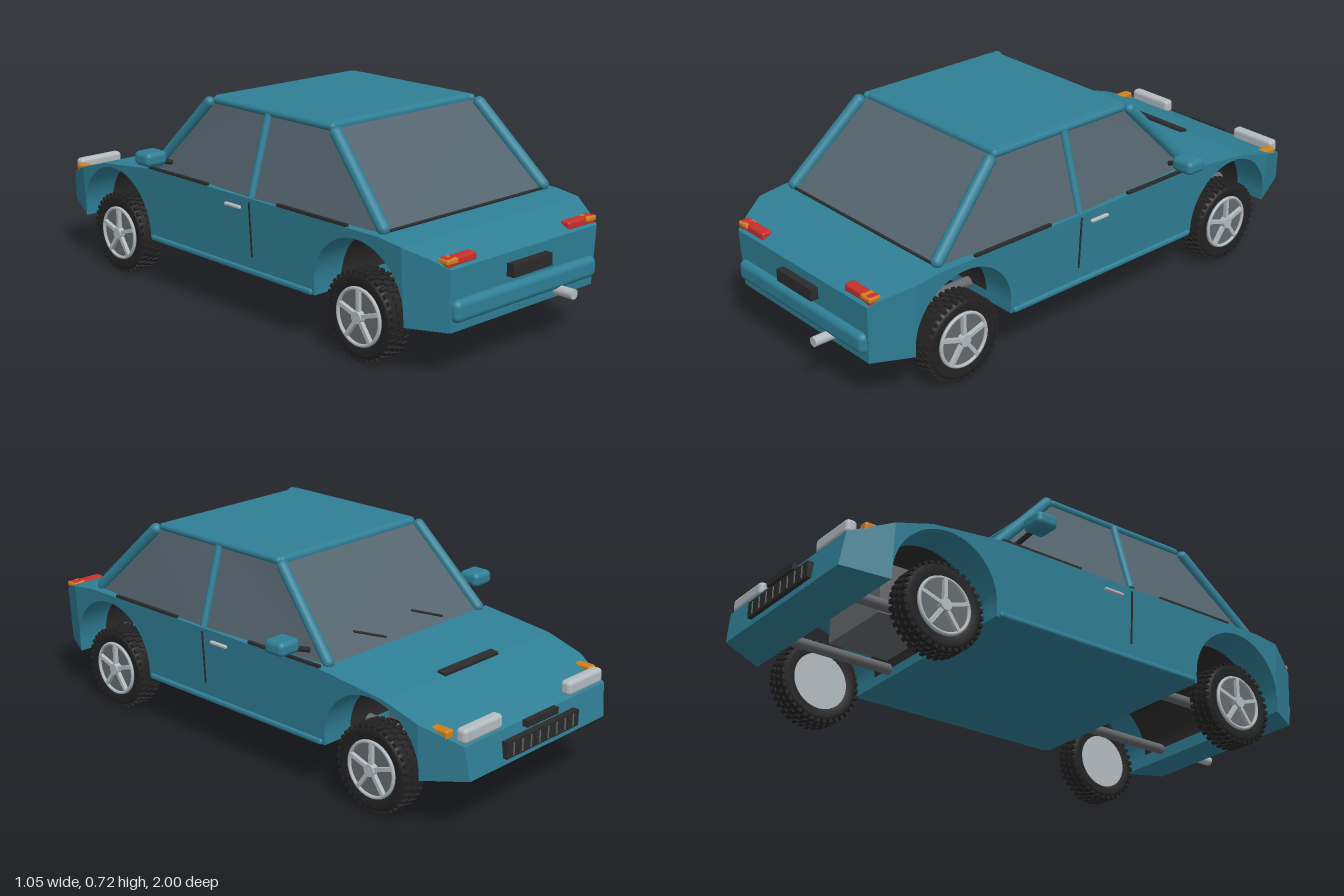
import * as THREE from 'three';
import { RoundedBoxGeometry } from 'three/addons/geometries/RoundedBoxGeometry.js';

const mat = (name, color, extra = {}) => {
  const m = new THREE.MeshStandardMaterial({ color, ...extra });
  m.name = name;
  return m;
};

export function createModel() {
  const paint = mat('teal paint', 0x2f7f96, { flatShading: true });
  const paintSmooth = mat('teal trim', 0x2f7f96);
  const glass = mat('window glass', 0x55656f, { side: THREE.DoubleSide });
  const dark = mat('dark plastic', 0x2b2b2b, { side: THREE.DoubleSide });
  const rubber = mat('tyre rubber', 0x222222);
  const silver = mat('silver', 0xb4bcc0);
  const steel = mat('grey metal', 0x66696c);
  const red = mat('red lamp', 0xc8302a);
  const amber = mat('amber lamp', 0xcf7f1e);

  const car = new THREE.Group();
  car.name = 'car';
  const V = (x, y, z) => new THREE.Vector3(x, y, z);
  const add = (name, geo, m, p = [0, 0, 0], parent = car) => {
    const mesh = new THREE.Mesh(geo, m);
    mesh.name = name;
    mesh.position.set(...p);
    parent.add(mesh);
    return mesh;
  };
  const box = (name, m, size, p, parent) => add(name, new THREE.BoxGeometry(...size), m, p, parent);
  const rbox = (name, m, size, p, r, parent) => add(name, new RoundedBoxGeometry(...size, 3, r), m, p, parent);
  // Round rod between two points, with rounded ends if wanted
  const rod = (name, m, a, b, r, capped = false) => {
    const d = V(...b).sub(V(...a)), len = d.length();
    const geo = capped ? new THREE.CapsuleGeometry(r, len, 6, 14) : new THREE.CylinderGeometry(r, r, len, 14);
    const mesh = add(name, geo, m, V(...a).addScaledVector(d, 0.5).toArray());
    mesh.quaternion.setFromUnitVectors(V(0, 1, 0), d.normalize());
    return mesh;
  };
  const quad = (name, m, pts) => {
    const g = new THREE.BufferGeometry();
    g.setAttribute('position', new THREE.Float32BufferAttribute(pts.flat(), 3));
    g.setIndex([0, 1, 2, 0, 2, 3]);
    g.computeVertexNormals();
    return add(name, g, m);
  };

  // Lower body: side profiles extruded across, then narrowed at both ends
  const halfWidth = (z, y) => 0.405 + (y - 0.17) * 0.06
    - Math.max(0, z - 0.795) * 0.5 - Math.max(0, -0.835 - z) * 0.4;
  const slab = (name, shape) => {
    const g = new THREE.ExtrudeGeometry(shape, { depth: 1, bevelEnabled: false, curveSegments: 28 });
    const p = g.attributes.position;
    for (let i = 0; i < p.count; i++) {
      const z = p.getX(i), y = p.getY(i), w = p.getZ(i);
      p.setXYZ(i, (1 - 2 * w) * halfWidth(z, y), y, z);
    }
    g.computeVertexNormals();
    add(name, g, paint);
  };
  const poly = pts => new THREE.Shape(pts.map(p => new THREE.Vector2(...p)));

  const side = new THREE.Shape();
  side.moveTo(-0.445, 0.17);
  side.lineTo(0.405, 0.17);
  side.lineTo(0.405, 0.208);
  side.absarc(0.6, 0.208, 0.195, Math.PI, 0, true);
  side.lineTo(0.795, 0.42);
  side.lineTo(0.70, 0.432);
  side.lineTo(-0.43, 0.432);
  side.lineTo(-0.70, 0.402);
  side.lineTo(-0.835, 0.362);
  side.lineTo(-0.835, 0.2);
  side.absarc(-0.64, 0.2, 0.195, Math.PI, 0, true);
  slab('bodyMiddle', side);
  slab('bodyTail', poly([[0.795, 0.165], [0.925, 0.165], [0.93, 0.365], [0.88, 0.39], [0.795, 0.42]]));
  slab('bodyNose', poly([[-0.985, 0.2], [-0.835, 0.175], [-0.835, 0.362], [-0.97, 0.312]]));

  // Dark wheel-well liners between the wheels
  for (const [z, y] of [[0.6, 0.208], [-0.64, 0.2]]) {
    const liner = new THREE.CylinderGeometry(0.192, 0.192, 0.58, 28, 1, true, 0, Math.PI).rotateZ(Math.PI / 2);
    add('wellLiner', liner, dark, [0, y, z]);
  }

  // Roof, windscreen and rear window
  rbox('roof', paintSmooth, [0.66, 0.035, 0.59], [0, 0.703, 0.113], 0.016);
  quad('windscreen', glass, [[0.37, 0.43, -0.435], [-0.37, 0.43, -0.435], [-0.325, 0.7, -0.18], [0.325, 0.7, -0.18]]);
  quad('rearWindow', glass, [[-0.375, 0.43, 0.69], [0.375, 0.43, 0.69], [0.325, 0.7, 0.41], [-0.325, 0.7, 0.41]]);
  rod('rearWindowTrim', dark, [-0.36, 0.437, 0.69], [0.36, 0.437, 0.69], 0.005);

  for (const s of [1, -1]) {
    // Side windows and pillars
    quad('frontSideWindow', glass, [[s * 0.38, 0.43, -0.43], [s * 0.41, 0.43, 0.11], [s * 0.33, 0.7, 0.11], [s * 0.33, 0.7, -0.18]]);
    quad('rearSideWindow', glass, [[s * 0.41, 0.43, 0.11], [s * 0.385, 0.43, 0.69], [s * 0.33, 0.7, 0.41], [s * 0.33, 0.7, 0.11]]);
    rod('frontPillar', paintSmooth, [s * 0.375, 0.44, -0.43], [s * 0.335, 0.695, -0.19], 0.019, true);
    rod('middlePillar', paintSmooth, [s * 0.41, 0.435, 0.11], [s * 0.332, 0.7, 0.11], 0.014);
    rod('rearPillar', paintSmooth, [s * 0.378, 0.445, 0.68], [s * 0.335, 0.692, 0.43], 0.021, true);
    rod('roofRail', paintSmooth, [s * 0.325, 0.705, -0.16], [s * 0.325, 0.705, 0.4], 0.014, true);

    // Door details
    box('frontBeltTrim', dark, [0.012, 0.01, 0.32], [s * 0.414, 0.436, -0.27]);
    box('rearBeltTrim', dark, [0.012, 0.01, 0.32], [s * 0.414, 0.436, 0.4]);
    box('doorGap', dark, [0.006, 0.19, 0.006], [s * 0.414, 0.325, 0.108]).rotation.z = -s * 0.06;
    rbox('doorHandle', silver, [0.014, 0.012, 0.078], [s * 0.422, 0.393, 0.027], 0.005);
    rbox('sill', paintSmooth, [0.02, 0.02, 0.83], [s * 0.405, 0.178, -0.02], 0.008);

    // Door mirror
    rod('mirrorArm', dark, [s * 0.38, 0.463, -0.35], [s * 0.45, 0.485, -0.34], 0.009);
    rbox('mirror', paintSmooth, [0.088, 0.05, 0.082], [s * 0.482, 0.5, -0.332], 0.018);

    // Lamps
    rbox('headlamp', silver, [0.185, 0.05, 0.04], [s * 0.263, 0.338, -0.948], 0.014);
    rbox('frontIndicator', amber, [0.035, 0.034, 0.065], [s * 0.366, 0.337, -0.888], 0.008);
    rbox('tailLampBar', red, [0.135, 0.028, 0.038], [s * 0.287, 0.381, 0.9], 0.008);
    rbox('tailLampDrop', red, [0.028, 0.072, 0.04], [s * 0.34, 0.361, 0.901], 0.008);
    rbox('rearIndicator', amber, [0.05, 0.018, 0.044], [s * 0.331, 0.386, 0.902], 0.006);

    // Chassis rails crossing the wheel wells
    rod('frontRail', steel, [s * 0.2, 0.2, -0.86], [s * 0.2, 0.2, -0.43], 0.019);
    rod('rearRail', steel, [s * 0.2, 0.205, 0.39], [s * 0.2, 0.205, 0.81], 0.019);
  }

  // Tail fittings
  rbox('rearBumper', paintSmooth, [0.675, 0.072, 0.05], [0, 0.231, 0.925], 0.022);
  box('rearPlate', dark, [0.185, 0.042, 0.03], [0, 0.311, 0.942]);
  rod('exhaust', silver, [0.155, 0.19, 0.85], [0.155, 0.19, 1.0], 0.017);
  rod('muffler', steel, [0, 0.36, 0.52], [0, 0.325, 0.45], 0.036, true);

  // Nose fittings
  box('grille', dark, [0.37, 0.055, 0.022], [0, 0.25, -0.986]);
  for (let i = 0; i < 8; i++) box('grilleSlot', steel, [0.004, 0.042, 0.004], [-0.154 + i * 0.044, 0.25, -0.998]);
  box('frontPlate', dark, [0.16, 0.022, 0.02], [0, 0.305, -0.982]);
  box('bonnetVent', dark, [0.27, 0.012, 0.032], [0, 0.405, -0.692]).rotation.x = -0.15;
  box('engine', steel, [0.3, 0.18, 0.225], [0, 0.292, -0.602]);
  for (const x of [-0.185, 0.1]) rod('wiper', dark, [x, 0.452, -0.428], [x + 0.115, 0.492, -0.391], 0.004);

  // Wheels: tyre with lugs, dark dish, silver ring and five spokes
  const tyreProfile = [[0.098, -0.038], [0.125, -0.044], [0.138, -0.038], [0.142, -0.025],
    [0.142, 0.025], [0.138, 0.038], [0.125, 0.044], [0.098, 0.038]].map(p => new THREE.Vector2(...p));
  const tyreGeo = new THREE.LatheGeometry(tyreProfile, 40).rotateZ(-Math.PI / 2);
  const lugGeo = new THREE.BoxGeometry(0.026, 0.012, 0.013);
  const wheel = (s, z) => {
    const w = new THREE.Group();
    w.name = 'wheel';
    w.position.set(s * 0.36, 0.148, z);
    if (s < 0) w.rotation.y = Math.PI;
    car.add(w);
    add('tyre', tyreGeo, rubber, [0, 0, 0], w);
    const lugs = new THREE.Group();
    lugs.name = 'treadLugs';
    w.add(lugs);
    for (let i = 0; i < 36; i++) for (const k of [-1, 0, 1]) {
      const a = (i + (k ? 0 : 0.5)) / 36 * Math.PI * 2;
      const lug = add('lug', lugGeo, rubber, [k * 0.028, Math.cos(a) * 0.142, Math.sin(a) * 0.142], lugs);
      lug.rotation.x = a;
    }
    const disc = (name, m, r, t, x) =>
      add(name, new THREE.CylinderGeometry(r, r, t, 32).rotateZ(Math.PI / 2), m, [x, 0, 0], w);
    disc('rimDish', steel, 0.1, 0.04, 0.012);
    disc('rimBack', silver, 0.1, 0.03, -0.025);
    disc('hub', silver, 0.02, 0.024, 0.043);
    add('rimRing', new THREE.TorusGeometry(0.092, 0.006, 8, 40).rotateY(Math.PI / 2), silver, [0.042, 0, 0], w);
    for (let i = 0; i < 5; i++) {
      const spoke = new THREE.Group();
      spoke.name = 'spoke';
      spoke.rotation.x = i / 5 * Math.PI * 2;
      w.add(spoke);
      box('spokeBar', silver, [0.014, 0.078, 0.013], [0.042, 0.052, 0], spoke);
    }
  };
  for (const s of [1, -1]) for (const z of [0.6, -0.64]) wheel(s, z);

  return car;
}
